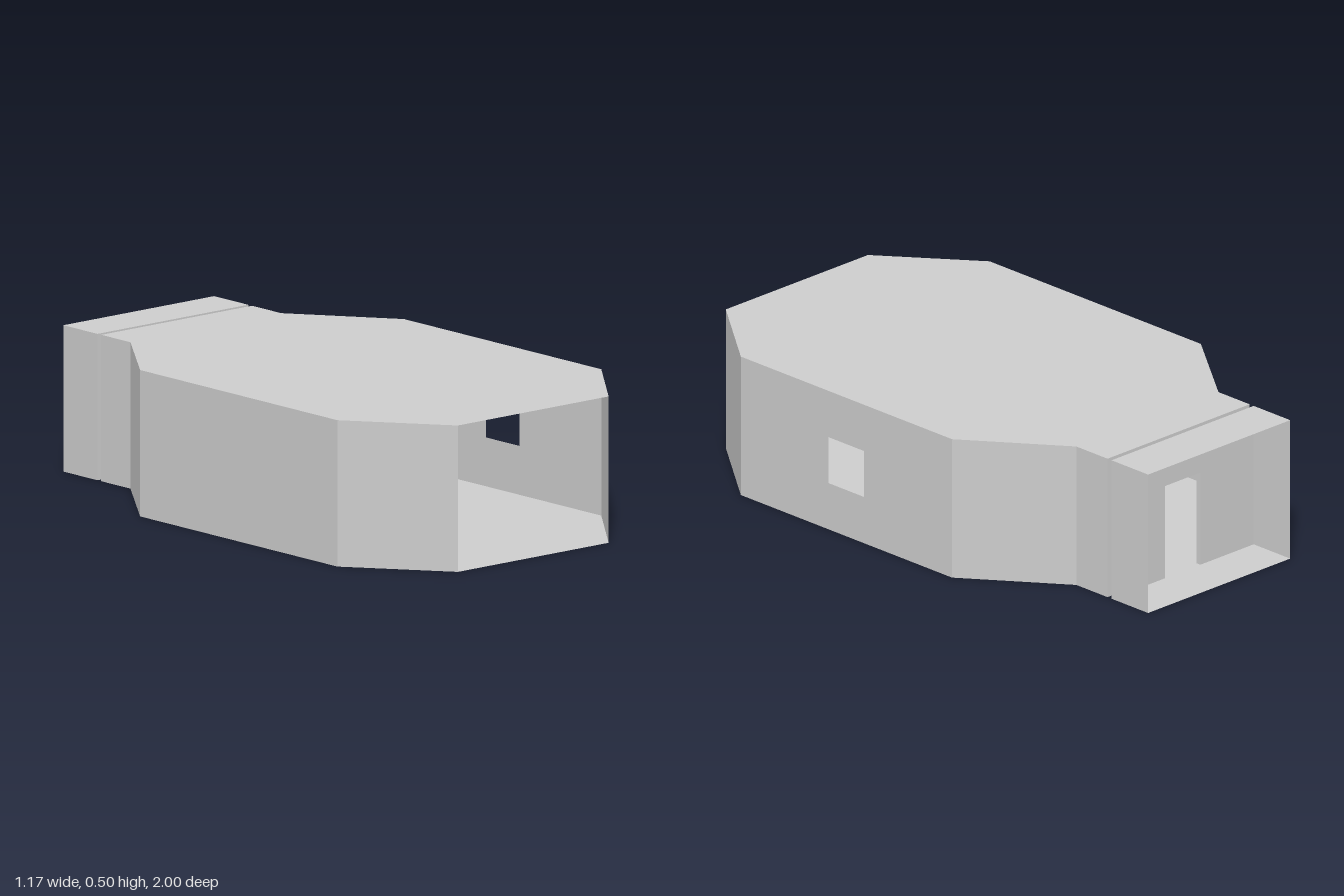
import * as THREE from 'three';

const H = 0.5;            // wall height
const DOOR_W = 0.083;     // half door width
const DOOR_H = 0.333;
const ROOM_BACK = -0.808, VESTIBULE_FRONT = -0.827;

export function createModel() {
  const model = new THREE.Group();
  model.name = 'roomModule';
  const grey = new THREE.MeshStandardMaterial({ color: 0xcccccc, side: THREE.DoubleSide });
  grey.name = 'plainGrey';

  const shapeOf = (pts) => new THREE.Shape(pts.map(([x, y]) => new THREE.Vector2(x, y)));
  const add = (parent, name, geometry) => {
    const mesh = new THREE.Mesh(geometry, grey);
    mesh.name = name;
    parent.add(mesh);
    return mesh;
  };

  // Upright panel from plan point a to plan point b, with an optional doorway or window
  function wall(parent, name, a, b, { door = false, window = null } = {}) {
    const dx = b[0] - a[0], dz = b[1] - a[1], len = Math.hypot(dx, dz), m = len / 2;
    const notch = door
      ? [[m - DOOR_W, 0], [m - DOOR_W, DOOR_H], [m + DOOR_W, DOOR_H], [m + DOOR_W, 0]] : [];
    const shape = shapeOf([[0, 0], ...notch, [len, 0], [len, H], [0, H]]);
    if (window) {
      const [x0, x1, y0, y1] = window;
      shape.holes.push(shapeOf([[x0, y0], [x0, y1], [x1, y1], [x1, y0]]));
    }
    const mesh = add(parent, name, new THREE.ShapeGeometry(shape));
    mesh.position.set(a[0], 0, a[1]);
    mesh.rotation.y = Math.atan2(-dz, dx);
  }

  // Floor and ceiling sheets following a plan outline, facing outward
  function slabs(parent, plan, top) {
    const floor = new THREE.ShapeGeometry(shapeOf(plan)).rotateX(Math.PI / 2);
    add(parent, 'floor', floor);
    const ceiling = new THREE.ShapeGeometry(shapeOf(plan.map(([x, z]) => [x, -z])));
    add(parent, 'ceiling', ceiling.rotateX(-Math.PI / 2).translate(0, top, 0));
  }

  const mirrored = (half) => [...half, ...half.map(([x, z]) => [-x, z]).reverse()];

  // Main room: elongated octagon, open at the front, narrowing to a neck
  const room = new THREE.Group();
  room.name = 'mainRoom';
  const plan = mirrored([
    [0.333, 1], [0.583, 0.676], [0.583, -0.324], [0.333, -0.66], [0.333, ROOM_BACK],
  ]);
  slabs(room, plan, H);
  for (let i = 0; i < plan.length - 1; i++) {
    wall(room, i === 4 ? 'doorWall' : 'sideWall', plan[i], plan[i + 1], {
      door: i === 4,
      window: i === 1 ? [0.416, 0.584, 0.167, 0.333] : null,
    });
  }

  // Low platform in the middle of the room
  add(room, 'platform', new THREE.BoxGeometry(0.25, 0.083, 0.25)).position.set(0, 0.0425, 0.175);

  // Short passage joining the two doorways
  const passage = new THREE.Group();
  passage.name = 'doorPassage';
  slabs(passage, mirrored([[DOOR_W, ROOM_BACK], [DOOR_W, VESTIBULE_FRONT]]), DOOR_H);
  for (const s of [-1, 1]) {
    const jamb = new THREE.PlaneGeometry(ROOM_BACK - VESTIBULE_FRONT, DOOR_H);
    jamb.rotateY(s * Math.PI / 2);
    add(passage, 'doorJamb', jamb)
      .position.set(s * DOOR_W, DOOR_H / 2, (ROOM_BACK + VESTIBULE_FRONT) / 2);
  }

  // Vestibule: shallow box, open at the back
  const vestibule = new THREE.Group();
  vestibule.name = 'vestibule';
  const box = mirrored([[0.333, VESTIBULE_FRONT], [0.333, -1]]);
  slabs(vestibule, box, H);
  wall(vestibule, 'sideWall', box[0], box[1]);
  wall(vestibule, 'sideWall', box[2], box[3]);
  wall(vestibule, 'doorWall', box[3], box[0], { door: true });

  model.add(room, passage, vestibule);
  return model;
}
